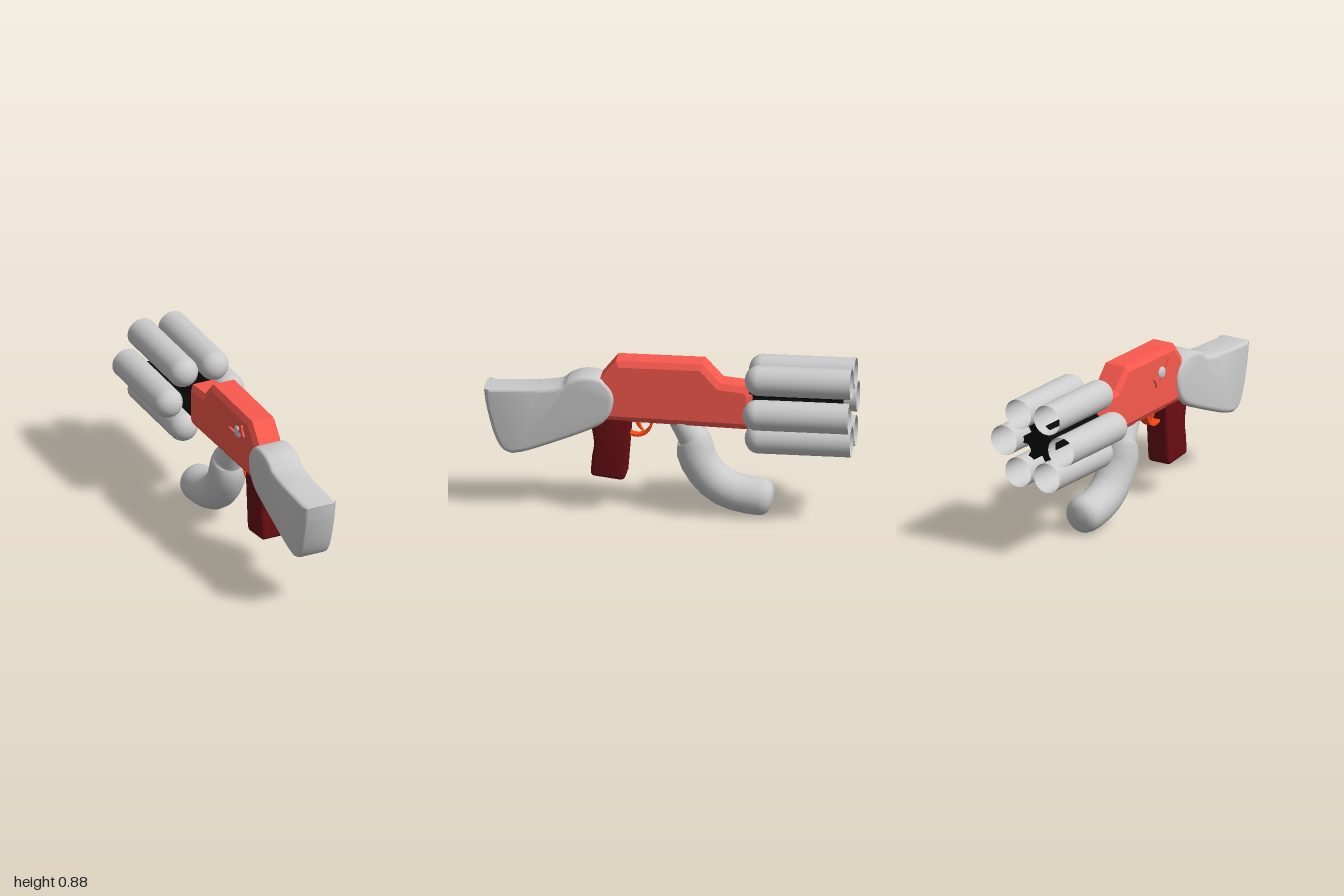
import * as THREE from 'three';
import { toCreasedNormals } from 'three/addons/utils/BufferGeometryUtils.js';

const mat = (color, side = THREE.FrontSide) => new THREE.MeshStandardMaterial({ color, side });
const grey = mat(0xcccccc);
const greyOpen = mat(0xcccccc, THREE.DoubleSide);
const red = mat(0xfa5a4e);
const darkRed = mat(0x6a0e12);
const orange = mat(0xff4a18);
const black = mat(0x0a0a0a);

const vec = ([a, b]) => new THREE.Vector2(a, b);

function add(parent, name, geometry, material) {
  const mesh = new THREE.Mesh(geometry, material);
  mesh.name = name;
  parent.add(mesh);
  return mesh;
}

// Side profile drawn in (z, y), extruded across x and centred on x = 0
function slab(shape, width, bevel = 0, thickness = bevel, segments = 1) {
  const g = new THREE.ExtrudeGeometry(shape, {
    depth: width - 2 * thickness, bevelEnabled: bevel > 0, bevelSize: bevel,
    bevelOffset: -bevel, bevelThickness: thickness, bevelSegments: segments, curveSegments: 16,
  });
  g.translate(0, 0, thickness - width / 2).rotateY(-Math.PI / 2);
  return segments > 1 ? toCreasedNormals(g, 0.6) : g;
}

// Round sections [z, y, radius] joined into a skin
function loft(stations, sides = 28) {
  const pos = [], index = [];
  stations.forEach(([z, y, r], i) => {
    const a = stations[Math.max(i - 1, 0)], b = stations[Math.min(i + 1, stations.length - 1)];
    const len = Math.hypot(b[0] - a[0], b[1] - a[1]);
    const tz = (b[0] - a[0]) / len, ty = (b[1] - a[1]) / len;
    for (let j = 0; j < sides; j++) {
      const t = (j / sides) * Math.PI * 2, s = Math.sin(t) * r;
      pos.push(Math.cos(t) * r, y + s * tz, z - s * ty);
      if (i === stations.length - 1) continue;
      const k = (j + 1) % sides, p = i * sides, q = p + sides;
      index.push(p + j, p + k, q + j, p + k, q + k, q + j);
    }
  });
  const g = new THREE.BufferGeometry();
  g.setAttribute('position', new THREE.Float32BufferAttribute(pos, 3));
  g.setIndex(index);
  g.computeVertexNormals();
  return g;
}

export function createModel() {
  const model = new THREE.Group();
  model.name = 'toyBlaster';

  // Chamfered receiver
  const body = new THREE.Shape([
    [0.285, 0.87], [-0.187, 0.87], [-0.285, 0.765], [-0.435, 0.75], [-0.458, 0.705],
    [-0.458, 0.545], [-0.435, 0.51], [0.42, 0.53], [0.37, 0.765],
  ].map(vec));
  add(model, 'body', slab(body, 0.16, 0.033, 0.018), red);

  // Shoulder stock with a rounded hump where it meets the body
  const stock = new THREE.Shape();
  stock.moveTo(1.0, 0.685);
  stock.splineThru([[0.985, 0.58], [0.945, 0.43], [0.9, 0.345], [0.845, 0.32]].map(vec));
  stock.splineThru([[0.73, 0.35], [0.42, 0.475], [0.33, 0.54], [0.295, 0.625], [0.305, 0.7],
    [0.37, 0.765], [0.465, 0.775], [0.54, 0.75], [0.59, 0.715], [0.72, 0.695]].map(vec));
  stock.lineTo(1.0, 0.685);
  add(model, 'stock', slab(stock, 0.19, 0.025, 0.025, 4), grey);

  // Rear hand grip
  const grip = new THREE.Shape();
  grip.moveTo(0.43, 0.54);
  grip.splineThru([[0.405, 0.4], [0.415, 0.31], [0.422, 0.225]].map(vec));
  grip.quadraticCurveTo(0.42, 0.205, 0.395, 0.203);
  grip.lineTo(0.265, 0.187);
  grip.quadraticCurveTo(0.235, 0.185, 0.23, 0.22);
  grip.lineTo(0.205, 0.54);
  add(model, 'rearGrip', slab(grip, 0.137, 0.018, 0.018, 3), darkRed);

  // Trigger guard and trigger
  const guard = new THREE.Shape();
  guard.absarc(0.175, 0.51, 0.084, Math.PI, Math.PI * 2, false);
  guard.absarc(0.175, 0.51, 0.071, Math.PI * 2, Math.PI, true);
  add(model, 'triggerGuard', slab(guard, 0.05), orange);
  const trigger = new THREE.Shape();
  trigger.moveTo(0.19, 0.53);
  trigger.quadraticCurveTo(0.18, 0.475, 0.14, 0.455);
  trigger.quadraticCurveTo(0.163, 0.485, 0.168, 0.53);
  add(model, 'trigger', slab(trigger, 0.03), orange);

  // Curved front grip: narrow neck, collar, bend and domed end
  add(model, 'frontGrip', loft([
    [-0.045, 0.555, 0], [-0.048, 0.55, 0.045], [-0.058, 0.535, 0.066], [-0.118, 0.437, 0.075],
    [-0.127, 0.43, 0.088], [-0.135, 0.41, 0.094], [-0.14, 0.35, 0.103], [-0.16, 0.295, 0.103],
    [-0.195, 0.24, 0.103], [-0.24, 0.19, 0.103], [-0.295, 0.152, 0.103], [-0.36, 0.127, 0.103],
    [-0.43, 0.113, 0.103], [-0.49, 0.107, 0.103], [-0.52, 0.105, 0.097], [-0.542, 0.103, 0.08],
    [-0.556, 0.101, 0.053], [-0.563, 0.1, 0],
  ]), grey);

  // Ring of six hollow barrels, domed at the rear and open at the muzzle
  const barrels = new THREE.Group();
  barrels.name = 'barrels';
  barrels.position.set(0, 0.638, 0);
  model.add(barrels);
  const profile = [];
  for (let i = 0; i <= 10; i++) {
    const t = (i / 10) * Math.PI / 2;
    profile.push(new THREE.Vector2(0.083 * Math.sin(t), 0.495 - 0.075 * Math.cos(t)));
  }
  profile.push(new THREE.Vector2(0.083, 1.0));
  const barrel = new THREE.LatheGeometry(profile, 32).rotateX(-Math.PI / 2);
  const coreOutline = [];
  for (let i = 0; i < 6; i++) {
    const a = (i * Math.PI) / 3;
    const mesh = add(barrels, 'barrel', barrel, greyOpen);
    mesh.position.set(0.184 * Math.cos(a), 0.19 * Math.sin(a), 0);
    for (const [d, r] of [[-0.26, 0.075], [-0.18, 0.11], [0.18, 0.11], [0.26, 0.075]]) {
      coreOutline.push(new THREE.Vector2(r * Math.cos(a + d), r * Math.sin(a + d)));
    }
  }

  // Toothed spindle holding the barrels
  const core = new THREE.ExtrudeGeometry(new THREE.Shape(coreOutline), { depth: 0.49, bevelEnabled: false });
  core.translate(0, 0, -0.93);
  add(barrels, 'spindle', core, black);

  // Wrapped sweet ornament on the side: round centre and two fanned ends
  const ornament = new THREE.Group();
  ornament.name = 'sideOrnament';
  ornament.position.set(-0.081, 0.745, 0.145);
  ornament.rotation.x = -0.5;
  model.add(ornament);
  const centre = add(ornament, 'ornamentCentre', new THREE.SphereGeometry(0.034, 20, 14), grey);
  centre.scale.x = 0.4;
  for (const s of [-1, 1]) {
    const fan = new THREE.Shape([[0.025, 0], [0.085, -0.034], [0.078, 0], [0.085, 0.034]].map(vec));
    const wing = add(ornament, 'ornamentEnd', slab(fan, 0.018), red);
    if (s < 0) wing.rotation.y = Math.PI;
  }
  return model;
}
